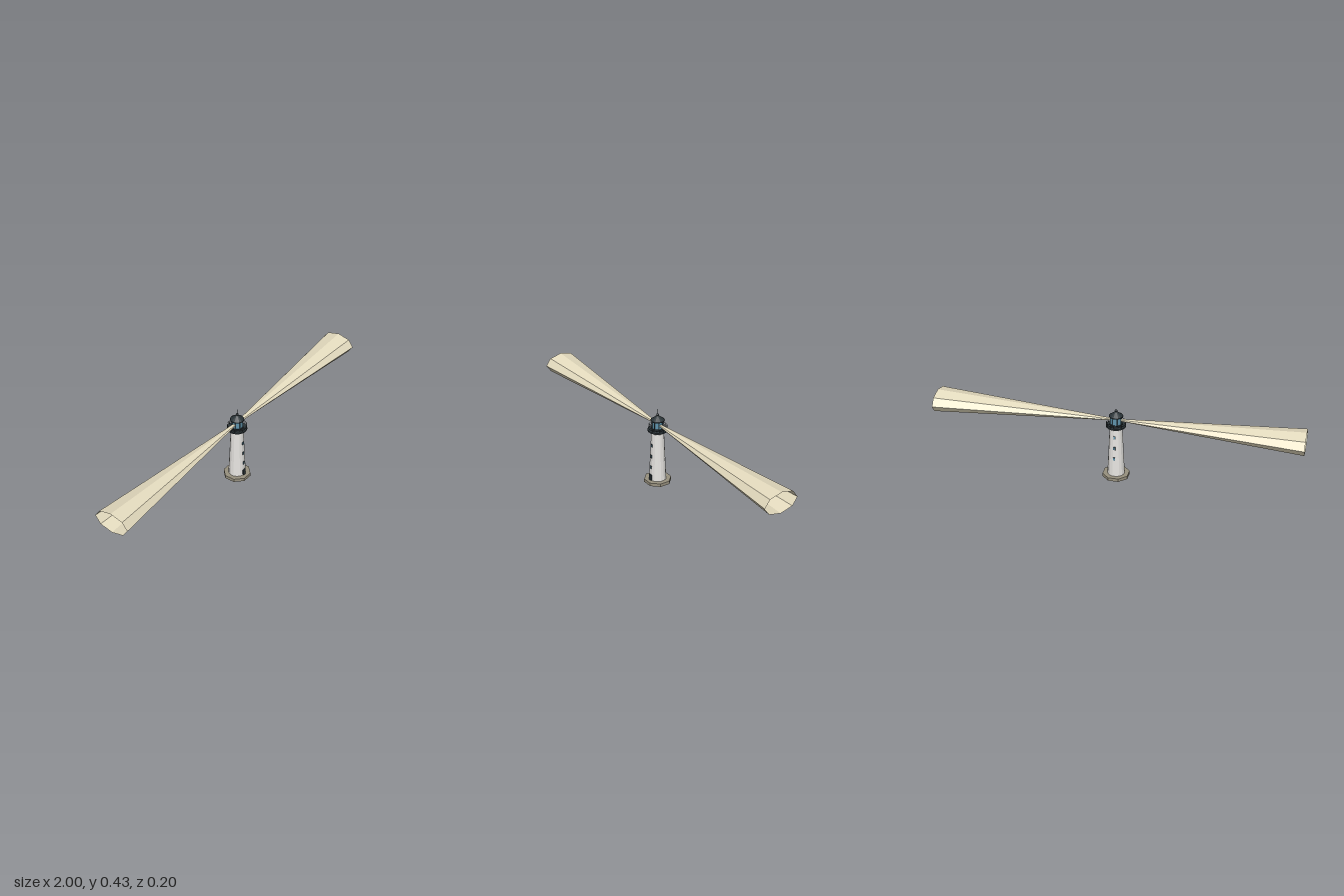
import * as THREE from 'three';

const mat = (name, color, extra = {}) =>
  Object.assign(new THREE.MeshStandardMaterial({ color, flatShading: true, ...extra }), { name });

export function createModel() {
  const root = new THREE.Group();
  root.name = 'lighthouse';
  const white = mat('whitewash', 0xe6e4e0);
  const stone = mat('stone', 0x98917f);
  const dark = mat('darkIron', 0x2b3438);
  const glass = mat('glass', 0x5f93ac);
  const light = mat('lightBeam', 0xe6ddc0, { side: THREE.DoubleSide });

  const add = (name, geo, material, x = 0, y = 0, z = 0, parent = root) => {
    const m = new THREE.Mesh(geo, material);
    m.name = name;
    m.position.set(x, y, z);
    parent.add(m);
    return m;
  };
  // Prism or frustum between two heights, with flat sides facing the axes
  const drum = (name, r0, r1, y0, y1, sides, material) =>
    add(name, new THREE.CylinderGeometry(r1, r0, y1 - y0, sides).rotateY(Math.PI / sides),
      material, 0, (y0 + y1) / 2);

  // Plinth and tapering tower
  drum('plinth', 0.0747, 0.0747, 0, 0.018, 8, stone);
  drum('tower', 0.047, 0.034, 0.018, 0.3, 16, white);
  drum('corbel', 0.034, 0.048, 0.294, 0.306, 16, white);
  const wallAt = y => 0.047 - 0.013 * (y - 0.018) / 0.282;

  // Door and the windows on the front and back
  add('door', new THREE.BoxGeometry(0.02, 0.034, 0.007), dark, 0, 0.035, 0.047);
  const tilt = Math.atan(0.013 / 0.282);
  for (const [side, heights] of [[1, [0.095, 0.16, 0.224]], [-1, [0.124, 0.188, 0.253]]]) {
    for (const y of heights) {
      const win = new THREE.Group();
      win.name = 'window';
      win.position.set(0, y, side * wallAt(y));
      win.rotation.x = -side * tilt;
      add('windowFrame', new THREE.BoxGeometry(0.011, 0.017, 0.005), dark, 0, 0, 0, win);
      add('windowPane', new THREE.BoxGeometry(0.009, 0.014, 0.007), glass, 0, 0, 0, win);
      root.add(win);
    }
  }

  // Gallery deck and railing
  drum('galleryDeck', 0.054, 0.054, 0.306, 0.314, 16, dark);
  for (const y of [0.324, 0.334]) {
    add('rail', new THREE.TorusGeometry(0.052, 0.0011, 5, 16).rotateX(Math.PI / 2), dark, 0, y, 0);
  }
  for (let i = 0; i < 16; i++) {
    const a = i * Math.PI / 8;
    add('railPost', new THREE.CylinderGeometry(0.0009, 0.0009, 0.02, 5), dark,
      0.052 * Math.sin(a), 0.324, 0.052 * Math.cos(a));
  }

  // Lantern room with corner mullions
  drum('lanternSill', 0.034, 0.034, 0.314, 0.322, 8, dark);
  drum('lanternGlass', 0.03, 0.03, 0.322, 0.366, 8, glass);
  for (let i = 0; i < 8; i++) {
    const a = (i + 0.5) * Math.PI / 4;
    add('mullion', new THREE.CylinderGeometry(0.002, 0.002, 0.044, 6), dark,
      0.03 * Math.sin(a), 0.344, 0.03 * Math.cos(a));
  }

  // Roof, ball and spike
  drum('roofEave', 0.038, 0.038, 0.365, 0.369, 16, dark);
  drum('roof', 0.037, 0.006, 0.369, 0.393, 16, dark);
  add('finialBall', new THREE.SphereGeometry(0.0075, 10, 8), dark, 0, 0.397, 0);
  add('spike', new THREE.CylinderGeometry(0.0009, 0.0009, 0.03, 6), dark, 0, 0.415, 0);

  // Pair of flattened, open eight-sided light beams
  for (const side of [-1, 1]) {
    const beam = new THREE.CylinderGeometry(0.1, 0.0095, 0.972, 8, 1, true)
      .rotateZ(-side * Math.PI / 2).scale(1, 0.57, 1);
    add(side > 0 ? 'leftBeam' : 'rightBeam', beam, light, side * 0.514, 0.344, 0);
  }
  return root;
}
